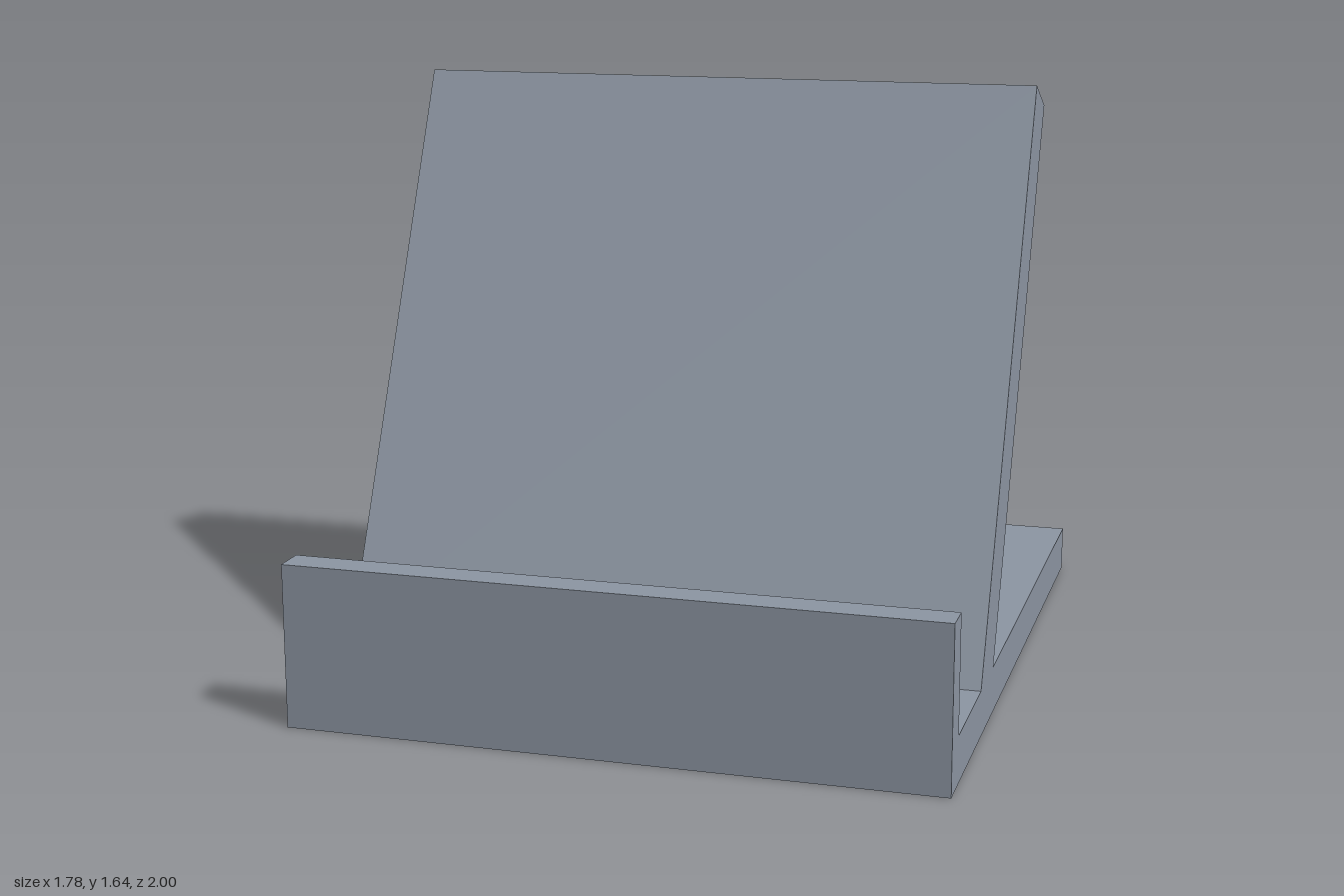
import * as THREE from 'three';

const WIDTH = 1.78;

export function createModel() {
  const group = new THREE.Group();
  group.name = 'tabletStand';

  const slateGrey = new THREE.MeshStandardMaterial({ color: 0x8c95a2 });
  slateGrey.name = 'slateGrey';

  // Side profile as [z, y]: base plate, leaning back rest and front lip in one piece
  const profile = [
    [-1, 0], [1, 0],
    [1, 0.45], [0.91, 0.45], [0.91, 0.13],          // front lip
    [0.58, 0.13], [-0.125, 1.64], [-0.28, 1.57], [0.385, 0.13], // back rest
    [-1, 0.13],                                      // rear of base
  ].map(([z, y]) => new THREE.Vector2(z, y));

  // Extrude across the width, then turn the profile to run along z
  const geometry = new THREE.ExtrudeGeometry(new THREE.Shape(profile), {
    depth: WIDTH,
    bevelEnabled: false,
  });
  geometry.translate(0, 0, -WIDTH / 2);
  geometry.rotateY(-Math.PI / 2);

  const stand = new THREE.Mesh(geometry, slateGrey);
  stand.name = 'standBody';
  group.add(stand);

  return group;
}
